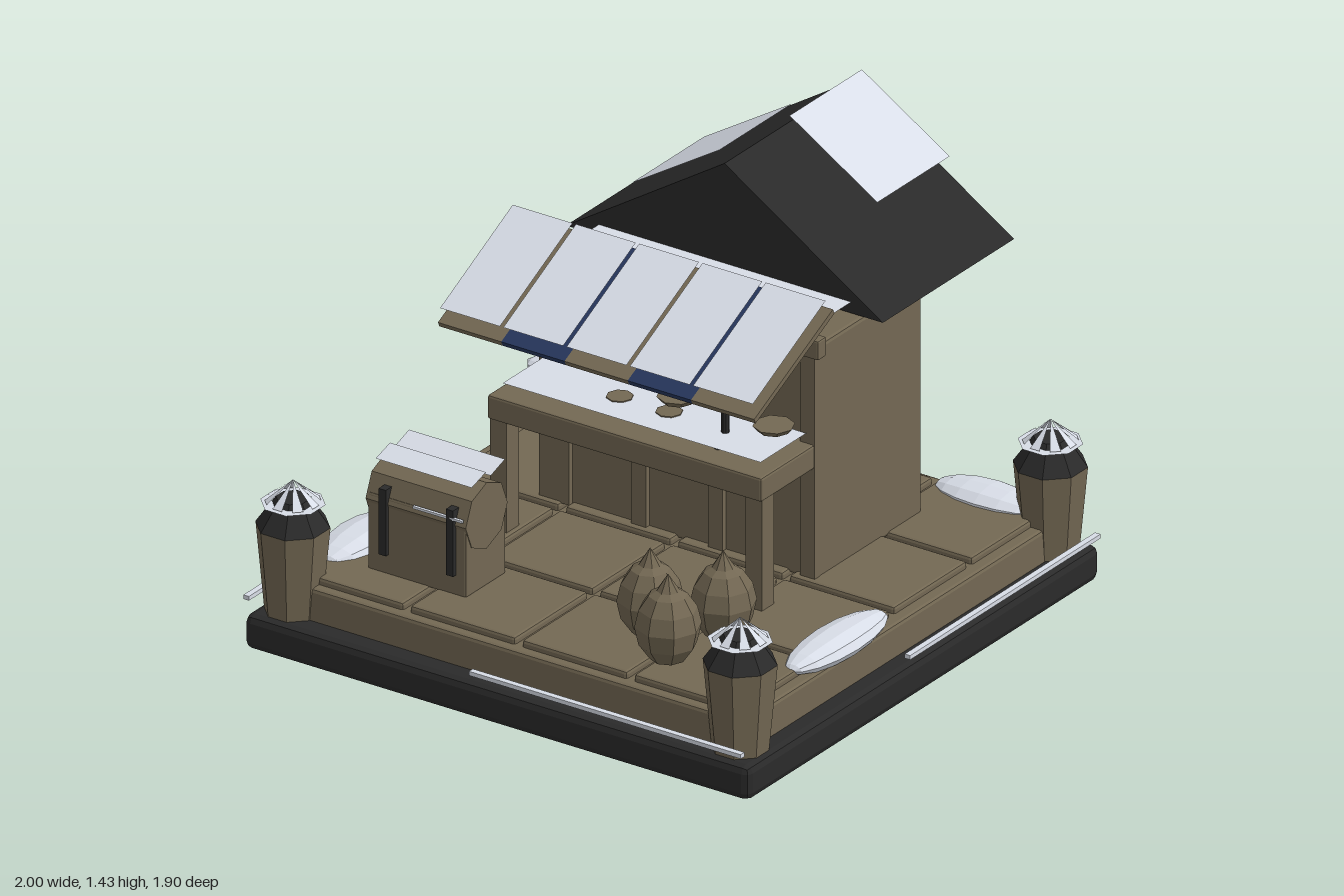
import * as THREE from 'three';
import { RoundedBoxGeometry } from 'three/addons/geometries/RoundedBoxGeometry.js';

const material = (name, color, extra = {}) => {
  const m = new THREE.MeshStandardMaterial({ color, flatShading: true, ...extra });
  m.name = name;
  return m;
};

export function createModel() {
  const model = new THREE.Group();
  model.name = 'marketStall';
  const brown = material('weathered brown', 0x736853);
  const black = material('charcoal', 0x2a2a2a);
  const blue = material('awning blue', 0x26365c);
  const snow = material('snow', 0xd9dee8, { side: THREE.DoubleSide });

  const add = (name, geometry, mat, x = 0, y = 0, z = 0, parent = model) => {
    const mesh = new THREE.Mesh(geometry, mat);
    mesh.name = name;
    mesh.position.set(x, y, z);
    parent.add(mesh);
    return mesh;
  };
  // Box given by its limits, optionally with bevelled edges
  const block = (name, mat, [x0, x1], [y0, y1], [z0, z1], bevel = 0) => {
    const s = [x1 - x0, y1 - y0, z1 - z0];
    const g = bevel ? new RoundedBoxGeometry(...s, 1, bevel) : new THREE.BoxGeometry(...s);
    return add(name, g, mat, (x0 + x1) / 2, (y0 + y1) / 2, (z0 + z1) / 2);
  };
  // Snow sheet from four corners
  const sheet = (name, a, b, c, d) => {
    const g = new THREE.BufferGeometry();
    g.setAttribute('position', new THREE.Float32BufferAttribute([...a, ...b, ...c, ...d], 3));
    g.setIndex([0, 1, 2, 0, 2, 3]);
    g.computeVertexNormals();
    return add(name, g, snow);
  };
  // Sheet sloping along z between (y0, z0) and (y1, z1)
  const slopeZ = (name, x0, x1, y0, z0, y1, z1) =>
    sheet(name, [x0, y0, z0], [x0, y1, z1], [x1, y1, z1], [x1, y0, z0]);

  // Ground slabs
  block('groundSlab', black, [-0.86, 0.98], [0, 0.115], [-0.91, 0.94], 0.025);
  block('stonePlatform', brown, [-0.79, 0.91], [0.1, 0.222], [-0.83, 0.86], 0.012);

  // Paving
  for (let row = 0; row < 4; row++) {
    for (let col = 0; col < 4; col++) {
      const x = -0.55 + col * 0.408, z = -0.592 + row * 0.408;
      block('pavingStone', brown, [x - 0.192, x + 0.192], [0.21, 0.245], [z - 0.192, z + 0.192], 0.01);
    }
  }

  // Snow strips, one along part of each edge of the ground
  block('edgeSnowFront', snow, [-0.03, 0.96], [0.148, 0.162], [0.93, 0.95]);
  block('edgeSnowBack', snow, [-0.84, 0.15], [0.148, 0.162], [-0.925, -0.905]);
  block('edgeSnowLeft', snow, [0.975, 0.995], [0.148, 0.162], [-0.89, 0.11]);
  block('edgeSnowRight', snow, [-0.88, -0.86], [0.148, 0.162], [-0.08, 0.91]);

  // Corner posts with caps and snow petals
  for (const x of [-0.755, 0.875]) {
    for (const z of [-0.8, 0.83]) {
      const post = new THREE.Group();
      post.name = 'cornerPost';
      post.position.set(x, 0, z);
      model.add(post);
      const column = add('postColumn', new THREE.CylinderGeometry(0.115, 0.088, 0.29, 8), brown, 0, 0.255, 0, post);
      const cap = add('postCap', new THREE.CylinderGeometry(0.052, 0.115, 0.09, 8), black, 0, 0.445, 0, post);
      column.rotation.y = cap.rotation.y = Math.PI / 8;
      const ring = add('postSnowRing', new THREE.RingGeometry(0.065, 0.1, 8), snow, 0, 0.475, 0, post);
      ring.rotation.set(-Math.PI / 2, 0, Math.PI / 8);
      const p = [];
      for (let i = 0; i < 8; i++) {
        const a = (i * Math.PI) / 4, at = (t) => [Math.cos(t) * 0.085, 0.48, Math.sin(t) * 0.085];
        p.push(0, 0.55, 0, ...at(a + 0.2), ...at(a - 0.2));
      }
      const petals = new THREE.BufferGeometry();
      petals.setAttribute('position', new THREE.Float32BufferAttribute(p, 3));
      petals.computeVertexNormals();
      add('postSnowPetals', petals, snow, 0, 0, 0, post);
    }
  }

  // House body, front studs and header beam
  block('houseBody', brown, [-0.44, 0.56], [0.23, 1.015], [-0.58, -0.03], 0.012);
  for (const x of [-0.415, -0.36, -0.08, 0.2, 0.535])
    block('wallStud', brown, [x - 0.027, x + 0.027], [0.24, 1.0], [-0.04, -0.012]);
  block('headerBeam', brown, [-0.465, 0.59], [0.99, 1.055], [-0.035, 0.01], 0.006);
  slopeZ('ledgeSnow', -0.4, 0.52, 1.057, -0.27, 1.057, -0.06);
  slopeZ('beamSnow', -0.43, 0.55, 1.06, -0.04, 1.06, -0.012);

  // Gable roof
  const gable = new THREE.Shape([
    new THREE.Vector2(-0.52, 1.02), new THREE.Vector2(0.635, 1.02), new THREE.Vector2(0.058, 1.39)]);
  add('gableRoof', new THREE.ExtrudeGeometry(gable, { depth: 0.69, bevelEnabled: false }), black, 0, 0, -0.955);
  sheet('roofSnowLeft', [0.08, 1.43, -0.955], [0.08, 1.43, -0.575], [0.4, 1.23, -0.575], [0.4, 1.23, -0.955]);
  sheet('roofSnowRight', [-0.28, 1.23, -0.645], [-0.28, 1.23, -0.265], [0.04, 1.43, -0.265], [0.04, 1.43, -0.645]);

  // Striped awning with a snow sheet on each stripe
  const pitch = Math.atan2(0.2, 0.415);
  for (let i = 0; i < 5; i++) {
    const x = -0.4 + i * 0.2305;
    const stripe = add('awningStripe', new THREE.BoxGeometry(0.2305, 0.018, 0.46), i % 2 ? blue : brown, x, 1.065, 0.203);
    stripe.rotation.x = pitch;
    slopeZ('awningSnow', x - 0.109, x + 0.109, 1.212, 0.03, 1.022, 0.412);
  }

  // Counter and its legs
  block('counterTop', brown, [-0.44, 0.56], [0.612, 0.692], [-0.04, 0.265], 0.008);
  for (const x of [-0.405, 0.525])
    block('counterLeg', brown, [x - 0.03, x + 0.03], [0.23, 0.62], [0.19, 0.255]);
  slopeZ('counterSnow', -0.4, 0.54, 0.732, 0.0, 0.732, 0.24);

  // Balance scale
  add('scalePole', new THREE.CylinderGeometry(0.013, 0.013, 0.24, 8), black, 0.335, 0.81, 0.13);
  add('scaleFoot', new THREE.CylinderGeometry(0.04, 0.05, 0.025, 8), black, 0.335, 0.702, 0.13);
  block('scaleBeam', brown, [0.15, 0.52], [0.92, 0.935], [0.122, 0.138]);
  for (const x of [0.165, 0.515])
    add('scalePan', new THREE.CylinderGeometry(0.065, 0.05, 0.018, 8), brown, x, 0.8, 0.135);

  // Small goods on the counter
  [-0.06, 0.03, 0.12].forEach((x, i) => {
    for (let j = 0; j < 3 - (i % 2); j++)
      add('counterGoods', new THREE.CylinderGeometry(0.042, 0.042, 0.013, 8), brown, x, 0.699 + j * 0.015, 0.115);
  });

  // Chest with faceted lid, straps and snow
  block('chestBox', brown, [-0.585, -0.225], [0.24, 0.5], [0.475, 0.685], 0.008);
  const lid = add('chestLid', new THREE.CylinderGeometry(0.11, 0.11, 0.365, 8), brown, -0.405, 0.478, 0.58);
  lid.rotation.z = Math.PI / 2;
  for (const x of [-0.52, -0.275]) {
    block('chestStrap', black, [x - 0.013, x + 0.013], [0.31, 0.53], [0.465, 0.7]);
  }
  slopeZ('lidSnowBack', -0.575, -0.225, 0.625, 0.48, 0.6, 0.555);
  slopeZ('lidSnowFront', -0.575, -0.225, 0.622, 0.58, 0.6, 0.655);
  block('chestSnowFront', snow, [-0.41, -0.23], [0.497, 0.505], [0.69, 0.7]);
  block('chestSnowBack', snow, [-0.56, -0.38], [0.497, 0.505], [0.435, 0.45]);

  // Tied sacks
  const sackProfile = [[0, 0.25], [0.055, 0.265], [0.09, 0.315], [0.103, 0.375], [0.09, 0.43],
    [0.06, 0.475], [0.035, 0.49], [0, 0.545]].map(([r, y]) => new THREE.Vector2(r, y));
  for (const [x, z] of [[0.38, 0.59], [0.57, 0.48], [0.525, 0.705]])
    add('sack', new THREE.LatheGeometry(sackProfile, 8), brown, x, 0, z);

  // Snow drifts: centre and half sizes
  for (const [x, z, rx, rz] of [[-0.715, 0.52, 0.1, 0.2], [0.85, 0.29, 0.083, 0.245],
    [-0.655, -0.755, 0.345, 0.105], [0.67, -0.775, 0.19, 0.09]]) {
    const long = rx > rz;
    const g = new THREE.SphereGeometry(1, 10, 8);
    if (long) g.rotateZ(Math.PI / 2); else g.rotateX(Math.PI / 2);
    g.scale(rx, 0.042, rz);
    add('snowDrift', g, snow, x, 0.24, z);
  }
  return model;
}
